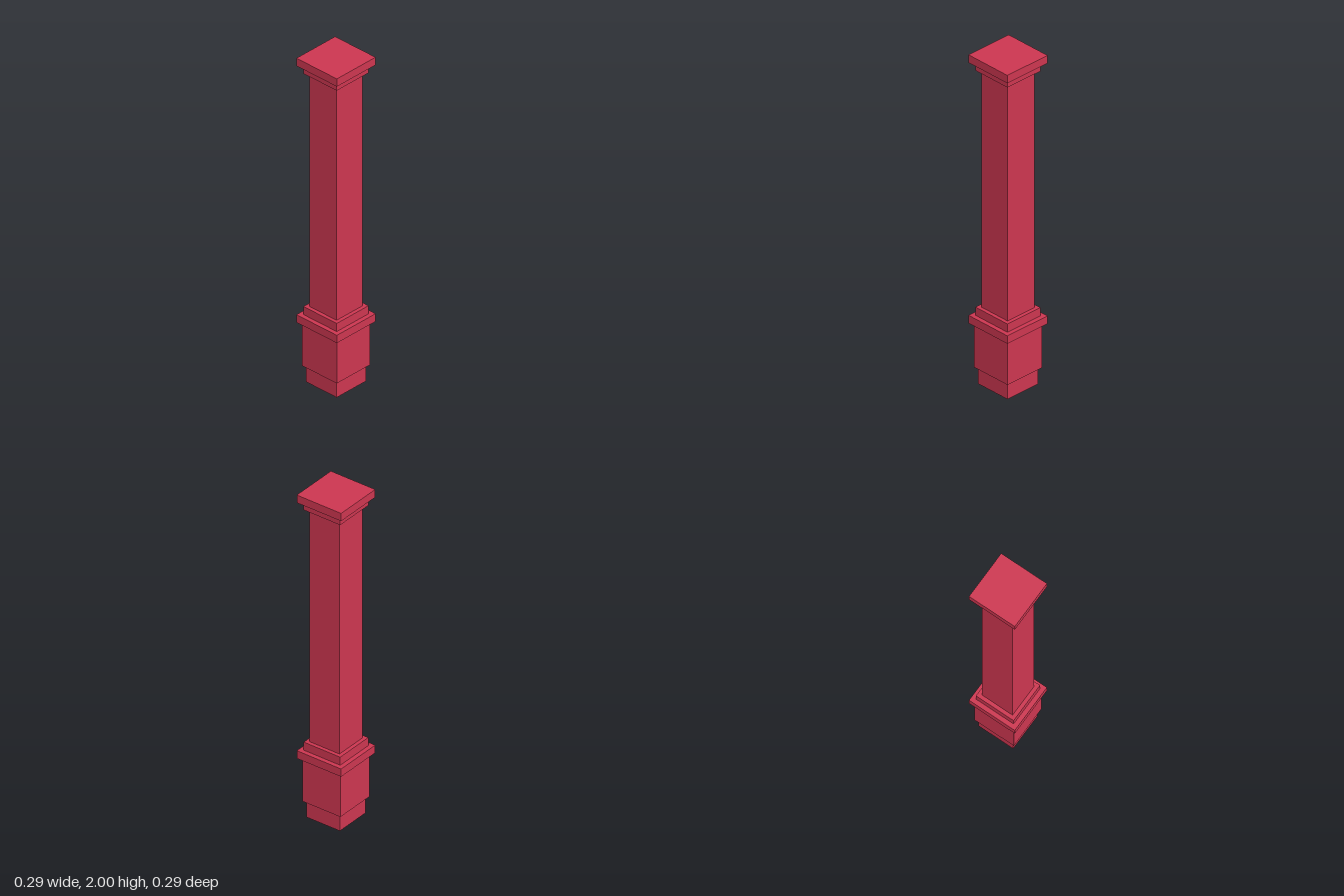
import * as THREE from 'three';

export function createModel() {
  const group = new THREE.Group();
  const color = 0xcc3650;
  const solid = new THREE.MeshStandardMaterial({ color });
  const shell = new THREE.MeshStandardMaterial({ color, flatShading: true, side: THREE.DoubleSide });

  // Square blocks stacked up the post: name, half width, bottom, top
  const blocks = [
    ['pedestal', 0.125, 0.1, 0.368],
    ['pedestalLedge', 0.146, 0.368, 0.416],
    ['shaftCollar', 0.12, 0.416, 0.466],
    ['shaft', 0.098, 0.466, 1.904],
    ['capCollar', 0.12, 1.904, 1.952],
    ['cap', 0.146, 1.952, 2],
  ];
  for (const [name, half, bottom, top] of blocks) {
    const mesh = new THREE.Mesh(new THREE.BoxGeometry(half * 2, top - bottom, half * 2), solid);
    mesh.name = name;
    mesh.position.y = (bottom + top) / 2;
    group.add(mesh);
  }

  // Hollow foot: four thin walls, open underneath up to the pedestal
  const footRadius = 0.11 * Math.SQRT2;
  const foot = new THREE.Mesh(
    new THREE.CylinderGeometry(footRadius, footRadius, 0.1, 4, 1, true, Math.PI / 4), shell);
  foot.name = 'foot';
  foot.position.y = 0.05;
  group.add(foot);

  return group;
}
